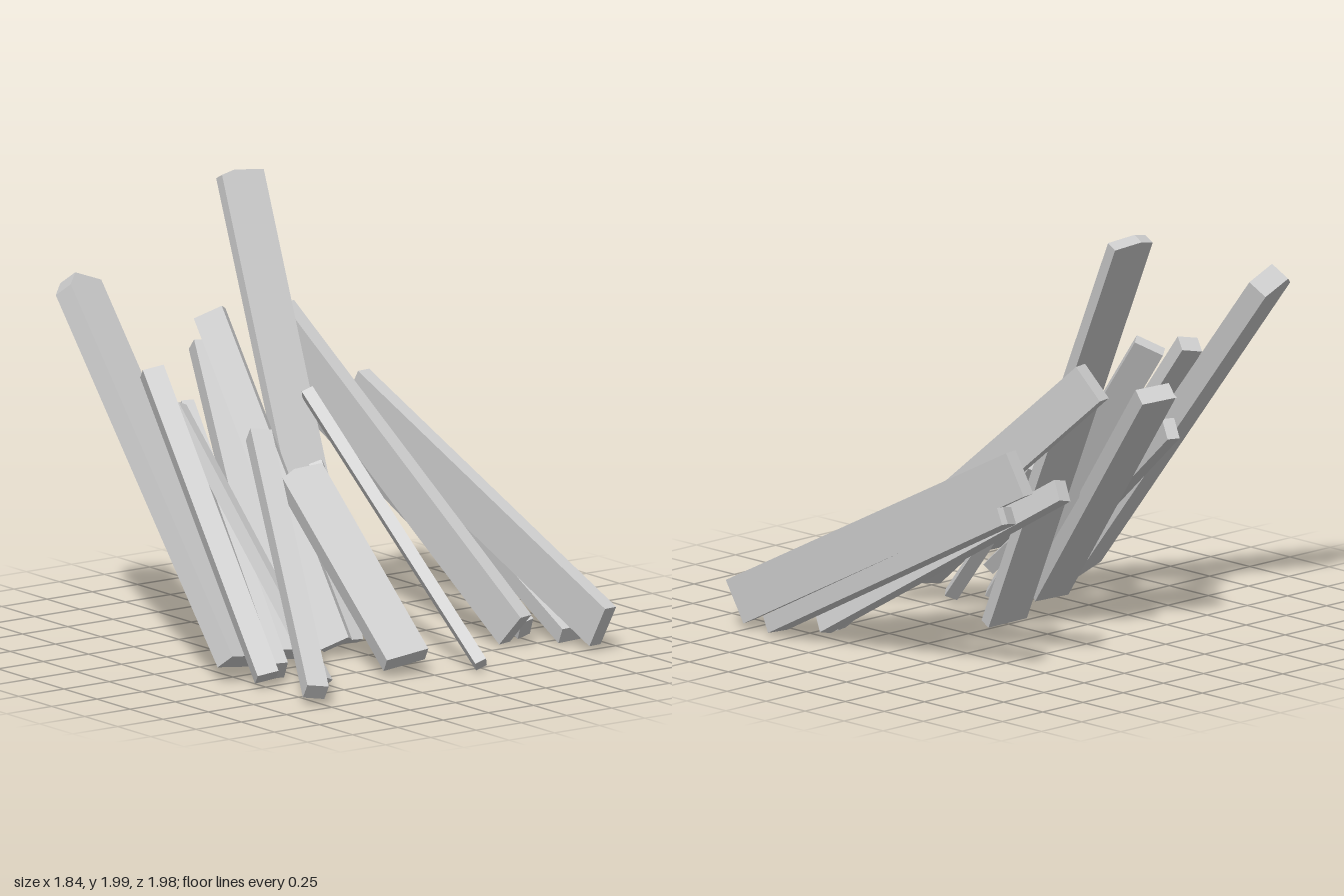
import * as THREE from 'three';

const material = new THREE.MeshStandardMaterial({ color: 0xcccccc, flatShading: true });

// foot and head centres, width, thickness, roll about the length,
// optional clipped head: [peak across width, left drop, right drop]
const planks = [
  { foot: [-0.77, 0.10, 0.32], head: [-0.81, 1.64, -0.89], w: 0.225, h: 0.1, roll: -0.28, clip: [-0.2, 0.06, 0.04] },
  { foot: [-0.76, 0.06, 0.50], head: [-0.68, 1.27, -0.48], w: 0.1, h: 0.08, roll: 0.35 },
  { foot: [-0.59, 0.05, 0.70], head: [-0.50, 1.07, -0.53], w: 0.06, h: 0.06, roll: -0.45 },
  { foot: [-0.66, 0.07, 0.46], head: [-0.29, 1.00, -0.76], w: 0.06, h: 0.1, roll: 0.2 },
  { foot: [-0.43, 0.06, 0.17], head: [-0.05, 1.23, -0.91], w: 0.17, h: 0.08, roll: 0.15 },
  { foot: [-0.81, 0.08, 0.94], head: [-0.25, 0.96, -0.26], w: 0.1, h: 0.08, roll: 0.1 },
  { foot: [-0.15, 0.07, 0.19], head: [-0.15, 1.41, -0.77], w: 0.14, h: 0.055, roll: 0.85 },
  { foot: [-0.13, 0.09, 0.69], head: [-0.11, 0.79, -0.15], w: 0.21, h: 0.08, roll: 0.22, clip: [-0.15, 0.03, 0.01] },
  { foot: [-0.07, 0.06, 0.42], head: [0.06, 0.79, -0.25], w: 0.06, h: 0.04, roll: 0.7 },
  { foot: [-0.01, 0.03, 0.02], head: [0.16, 1.985, -0.97], w: 0.22, h: 0.055, roll: 0.06, clip: [-0.18, 0.02, 0.01] },
  { foot: [0.19, 0.05, 0.82], head: [0.15, 1.07, -0.44], w: 0.055, h: 0.06, roll: 0.5 },
  { foot: [0.62, 0.09, 0.49], head: [0.285, 1.33, -0.85], w: 0.075, h: 0.19, roll: -0.15 },
  { foot: [0.72, 0.07, 0.43], head: [0.51, 0.88, -0.89], w: 0.07, h: 0.1, roll: 0.2 },
  { foot: [0.87, 0.13, 0.81], head: [0.65, 0.96, -0.76], w: 0.07, h: 0.21, roll: -0.08 },
  { foot: [0.85, 0.06, 0.60], head: [0.85, 0.83, -0.90], w: 0.12, h: 0.08, roll: 0.05, clip: [0.2, 0.04, 0] },
];

// Straight plank outline, extruded by its thickness and leaned from foot to head
function makePlank({ foot, head, w, h, roll, clip }) {
  const base = new THREE.Vector3(...foot);
  const axis = new THREE.Vector3(...head).sub(base);
  const length = axis.length();
  axis.normalize();

  const [peak, dropL, dropR] = clip ?? [0, 0, 0];
  const outline = new THREE.Shape();
  outline.moveTo(-w / 2, 0);
  outline.lineTo(w / 2, 0);
  outline.lineTo(w / 2, length - dropR);
  if (clip) outline.lineTo(peak * w, length);
  outline.lineTo(-w / 2, length - dropL);
  outline.closePath();
  const geometry = new THREE.ExtrudeGeometry(outline, { depth: h, bevelEnabled: false });
  geometry.translate(0, 0, -h / 2);

  const across = new THREE.Vector3(1, 0, 0);
  across.addScaledVector(axis, -across.dot(axis)).normalize();
  // positive roll lifts the left edge towards the front
  across.applyAxisAngle(axis, -roll);
  const out = new THREE.Vector3().crossVectors(across, axis);
  geometry.applyMatrix4(new THREE.Matrix4().makeBasis(across, axis, out).setPosition(base));
  return new THREE.Mesh(geometry, material);
}

export function createModel() {
  const group = new THREE.Group();
  group.name = 'leaningPlanks';
  planks.forEach((spec, i) => {
    const plank = makePlank(spec);
    plank.name = `plank${i + 1}`;
    group.add(plank);
  });

  // Rest the pile on the ground and centre it
  const box = new THREE.Box3().setFromObject(group, true);
  const centre = box.getCenter(new THREE.Vector3());
  for (const plank of group.children) plank.geometry.translate(-centre.x, -box.min.y, -centre.z);
  return group;
}
